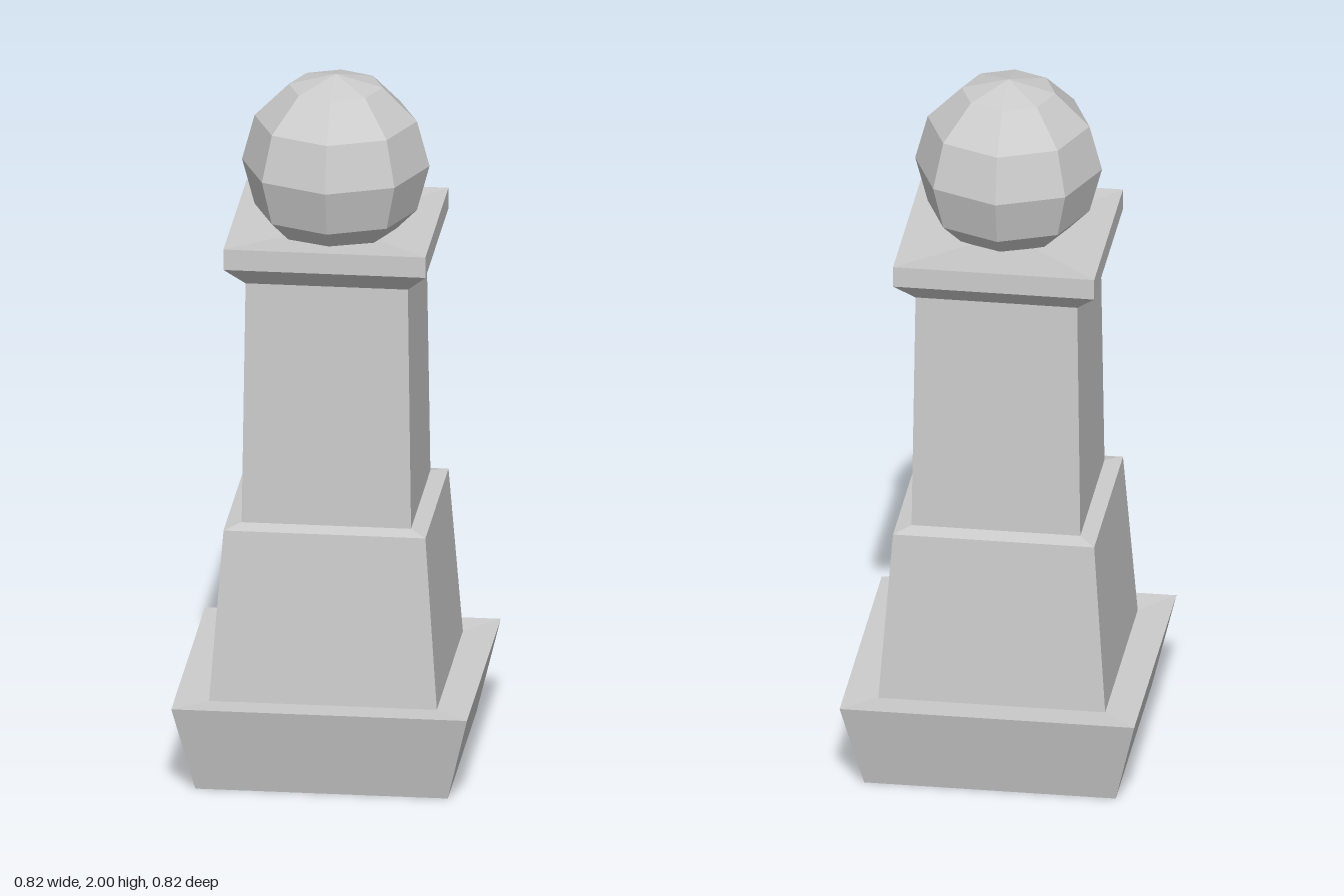
import * as THREE from 'three';

const material = new THREE.MeshStandardMaterial({ color: 0xcccccc, flatShading: true });

// Square block from [half width, height] pairs, listed from bottom to top
function squareBlock(name, profile) {
  const points = profile.map(([half, y]) => new THREE.Vector2(half * Math.SQRT2, y));
  const mesh = new THREE.Mesh(new THREE.LatheGeometry(points, 4, Math.PI / 4), material);
  mesh.name = name;
  return mesh;
}

export function createModel() {
  const group = new THREE.Group();
  group.name = 'stonePost';

  // Flared foot with a slightly dished top
  group.add(squareBlock('foot', [[0, 0], [0.35, 0], [0.41, 0.252], [0, 0.228]]));

  // Tapered plinth with a gently pitched ledge
  group.add(squareBlock('plinth', [[0, 0.23], [0.317, 0.23], [0.28, 0.735], [0.235, 0.745], [0, 0.745]]));

  // Tall shaft
  group.add(squareBlock('shaft', [[0, 0.74], [0.235, 0.74], [0.225, 1.45], [0, 1.45]]));

  // Cap with a chamfered underside and a slightly dished top
  group.add(squareBlock('cap', [[0, 1.44], [0.222, 1.44], [0.28, 1.5], [0.28, 1.56], [0, 1.542]]));

  // Faceted ball, set a little off centre
  const ball = new THREE.Mesh(new THREE.SphereGeometry(0.26, 8, 6), material);
  ball.name = 'ballFinial';
  ball.position.set(0.004, 1.74, 0.04);
  group.add(ball);

  return group;
}
